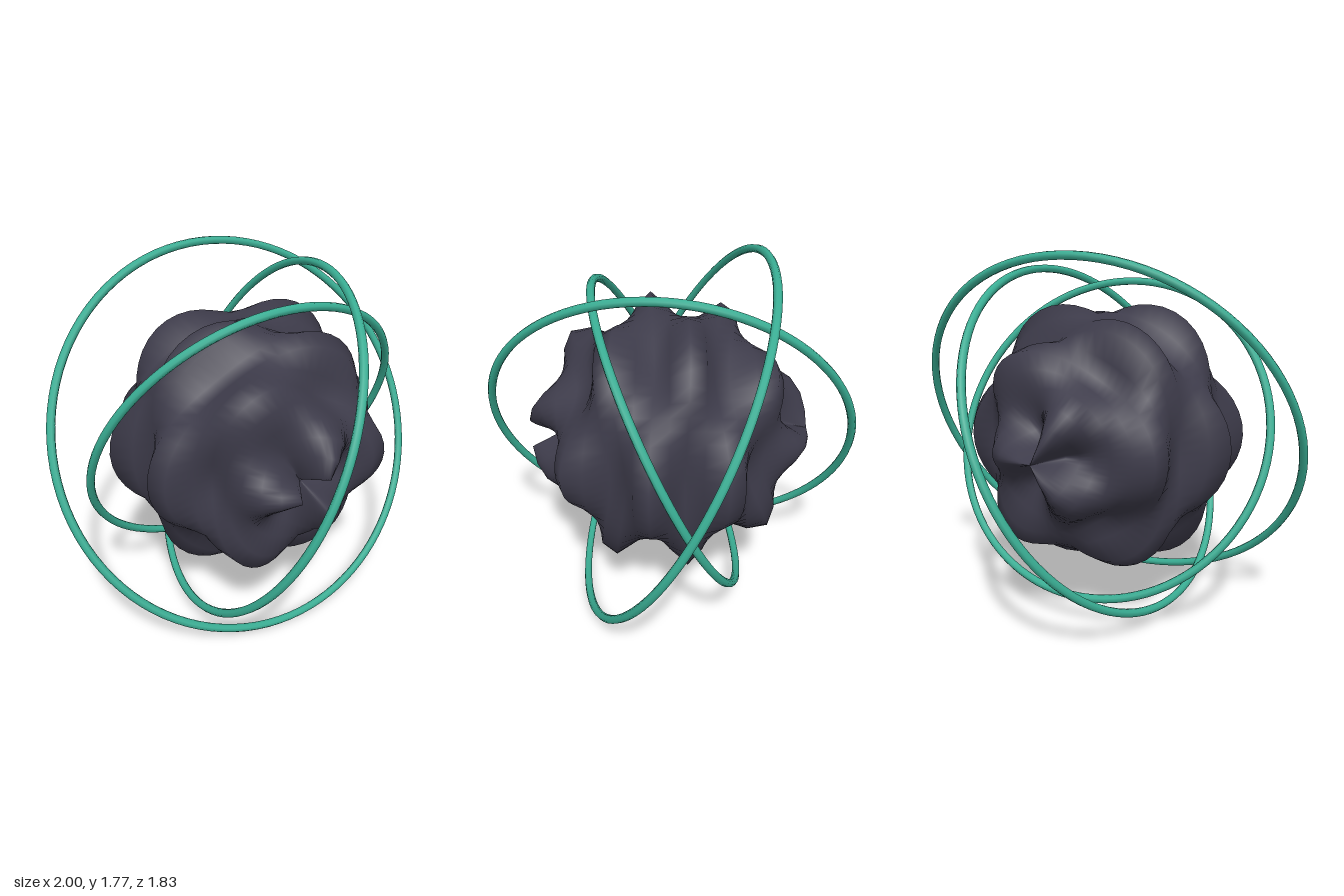
import * as THREE from 'three';

const CENTRE_Y = 0.89;

// Rippled core: a sphere with poles on z, displaced by a three-fold wave crossed with bands along z
function rippledSphere() {
  const g = new THREE.SphereGeometry(1, 64, 24);
  g.rotateX(Math.PI / 2);
  const p = g.attributes.position;
  const v = new THREE.Vector3();
  for (let i = 0; i < p.count; i++) {
    v.fromBufferAttribute(p, i).normalize();
    const atPole = Math.hypot(v.x, v.y) < 1e-4;
    const angle = atPole ? 0 : Math.atan2(v.y, v.x);
    const r = 0.605 + 0.092 * Math.cos(3 * angle) * Math.sin(11 * v.z);
    v.multiplyScalar(r);
    p.setXYZ(i, v.x, v.y, v.z);
  }
  g.computeVertexNormals();

  // Join the shading across the seam
  const n = g.attributes.normal;
  const cols = 65;
  for (let row = 1; row < 24; row++) {
    const a = row * cols, b = a + cols - 1;
    v.set(n.getX(a) + n.getX(b), n.getY(a) + n.getY(b), n.getZ(a) + n.getZ(b)).normalize();
    n.setXYZ(a, v.x, v.y, v.z);
    n.setXYZ(b, v.x, v.y, v.z);
  }
  return g;
}

export function createModel() {
  const group = new THREE.Group();
  const darkStone = new THREE.MeshStandardMaterial({ color: 0x3d3b4a });
  darkStone.name = 'darkStone';
  const teal = new THREE.MeshStandardMaterial({ color: 0x3aae94 });
  teal.name = 'teal';

  const core = new THREE.Mesh(rippledSphere(), darkStone);
  core.name = 'rippledCore';
  core.position.y = CENTRE_Y;
  group.add(core);

  // Orbiting rings: name, radius, direction of the ring's axis
  const rings = [
    ['outerRing', 0.98, [0.058, 0.464, 0.883]],
    ['sideRing', 0.9, [0.89, -0.435, 0.12]],
    ['innerRing', 0.825, [0.05, -0.43, 0.9]],
  ];
  const zAxis = new THREE.Vector3(0, 0, 1);
  for (const [name, radius, axis] of rings) {
    const ring = new THREE.Mesh(new THREE.TorusGeometry(radius, 0.02, 8, 96), teal);
    ring.name = name;
    ring.position.y = CENTRE_Y;
    ring.quaternion.setFromUnitVectors(zAxis, new THREE.Vector3(...axis).normalize());
    group.add(ring);
  }
  return group;
}
